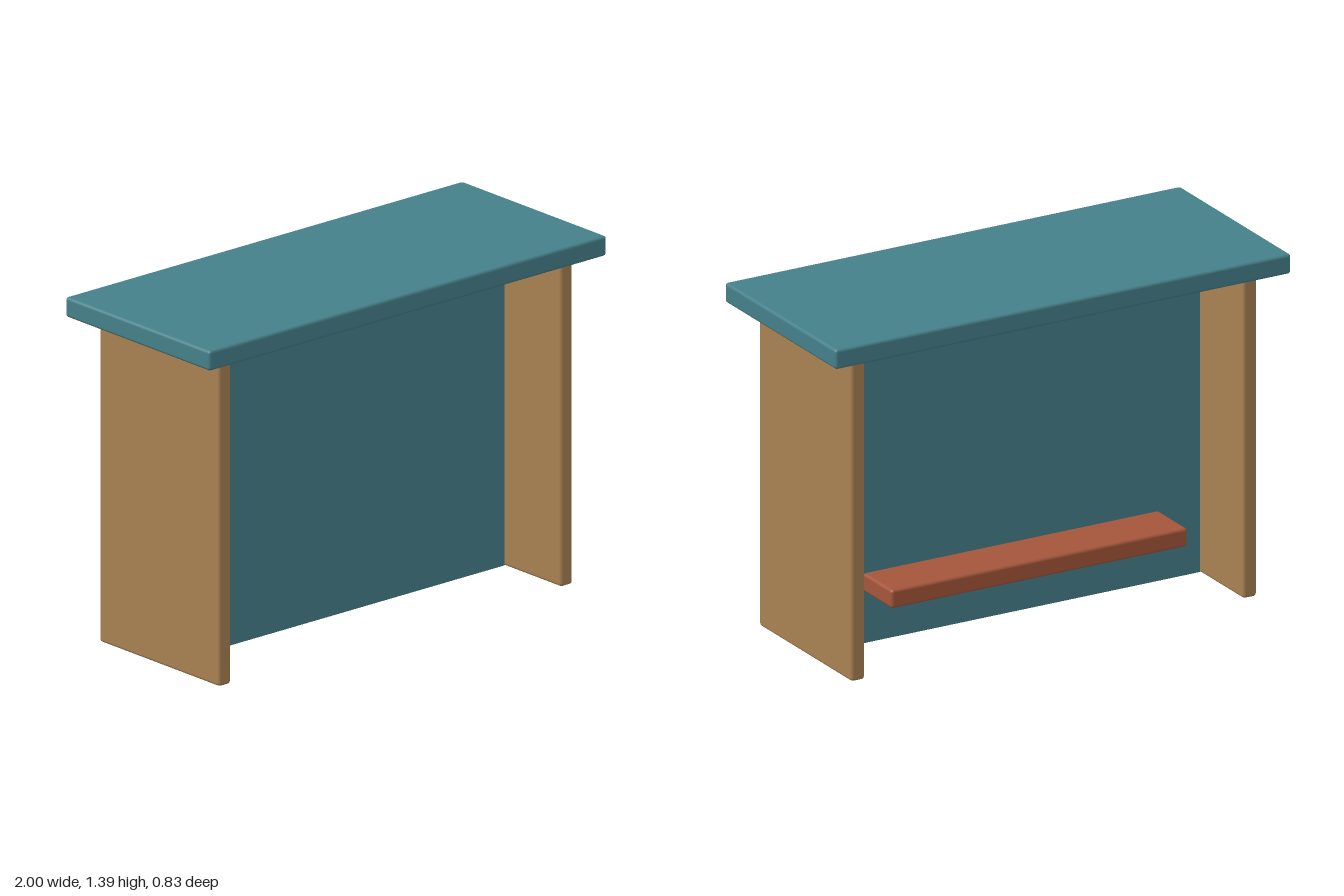
import * as THREE from 'three';
import { RoundedBoxGeometry } from 'three/addons/geometries/RoundedBoxGeometry.js';

export function createModel() {
  const group = new THREE.Group();
  group.name = 'counter';

  const material = (name, color) => {
    const m = new THREE.MeshStandardMaterial({ color });
    m.name = name;
    return m;
  };
  const teal = material('teal paint', 0x45808a);
  const wood = material('light wood', 0xa88152);
  const rust = material('rust wood', 0xa4563a);

  // Board with softly eased edges, placed by its centre
  const board = (name, size, position, mat, radius = 0.012) => {
    const mesh = new THREE.Mesh(new RoundedBoxGeometry(...size, 2, radius), mat);
    mesh.name = name;
    mesh.position.set(...position);
    group.add(mesh);
  };

  // Overhanging top
  board('counterTop', [2, 0.08, 0.83], [0, 1.35, 0], teal);

  // Side panels
  for (const [name, side] of [['leftSide', 1], ['rightSide', -1]]) {
    board(name, [0.06, 1.302, 0.69], [side * 0.86, 0.651, 0], wood);
  }

  // Centre panel between the sides
  board('centrePanel', [1.67, 1.302, 0.04], [0, 0.651, 0], teal, 0.005);

  // Low shelf on the back of the centre panel
  board('shelf', [1.3, 0.075, 0.22], [0, 0.25, -0.127], rust);

  return group;
}
